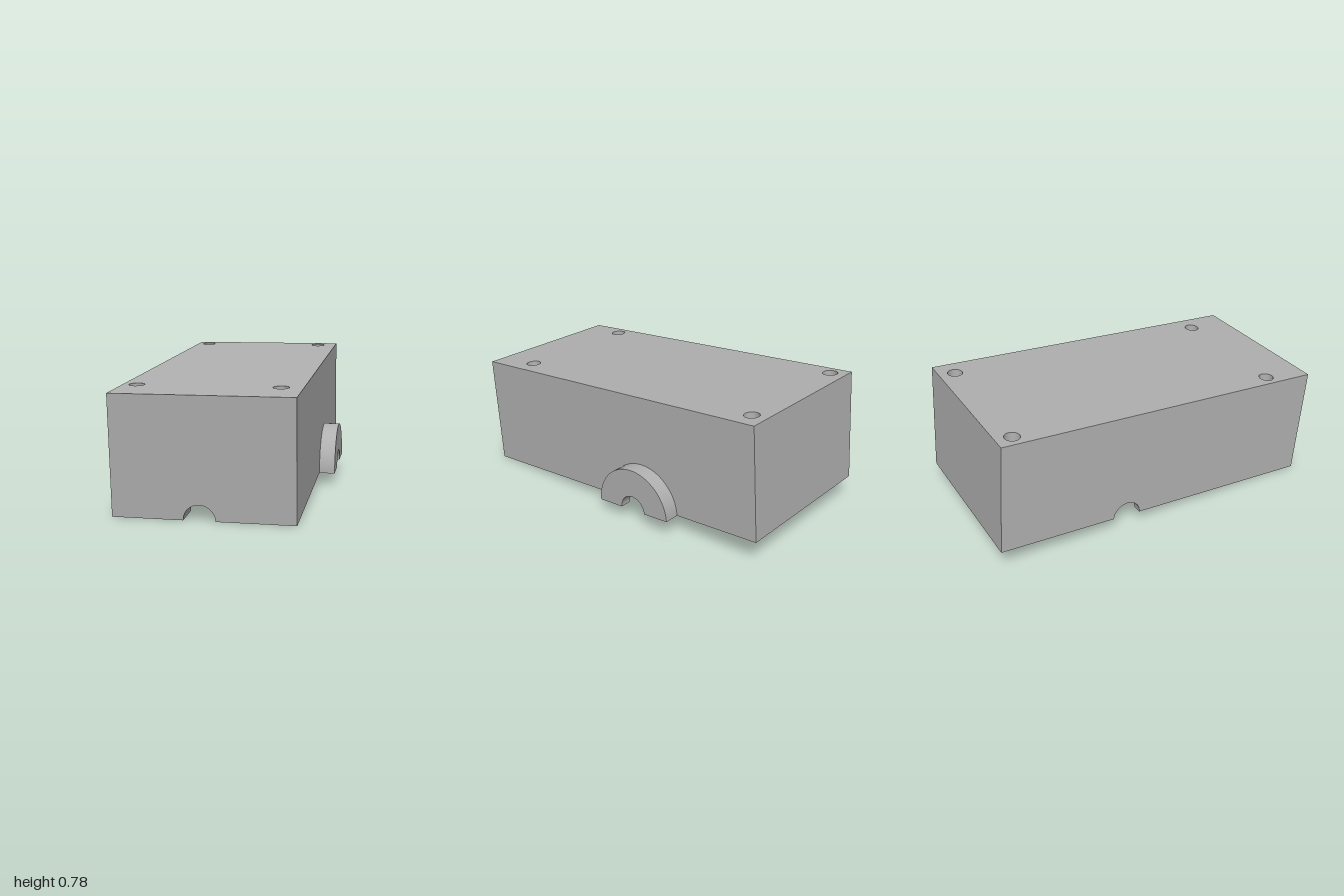
import * as THREE from 'three';

// Local axes: x across, v up from the split plane, u from the front end to the back end
const XL = -0.52, XR = 0.43, H = 0.64, L = 1.96, TILT = 0.0715;
const XS = -0.063, US = 1.198;             // axes of the long shaft and the cross shaft
const RB = 0.083, RP = 0.163;              // bore and bearing pocket radii
const RBOSS = 0.243, XBOSS = 0.52;
const RW = 0.46, WX0 = -0.257, WX1 = 0.275; // wheel chamber
const RG = 0.245, GU0 = 0.70, GU1 = 1.18;   // pinion chamber
const P1 = [0.15, 0.30], P2 = [0.48, 0.64]; // pockets on the long shaft
const PL = [-0.465, XS - RG], PR = [0.30, 0.455]; // pockets on the cross shaft
const HOLE_R = 0.042, HOLES = [[0.315, 0.256], [-0.445, 0.256], [0.315, 1.867], [-0.445, 1.867]];
const { PI, sin, cos, acos, asin, sqrt } = Math;

export function createModel() {
  const grey = new THREE.MeshStandardMaterial({ color: 0xb0b0b0, side: THREE.DoubleSide });
  grey.name = 'castGrey';
  const housing = new THREE.Group();
  housing.name = 'gearHousing';

  const add = (name, geo) => {
    geo.computeVertexNormals();
    const mesh = new THREE.Mesh(geo, grey);
    mesh.name = name;
    housing.add(mesh);
  };

  // Surface grid from f(s, t) -> [x, v, u]
  const patch = (name, f, n = 32, m = 1) => {
    const geo = new THREE.PlaneGeometry(1, 1, n, m);
    const p = geo.attributes.position;
    for (let i = 0; i < p.count; i++) {
      const [x, v, u] = f(p.getX(i) + 0.5, p.getY(i) + 0.5);
      p.setXYZ(i, x, v, -u);
    }
    add(name, geo);
  };

  // Flat face from a 2D outline, placed by map(p, q) -> [x, v, u]
  const face = (name, pts, map, holes = []) => {
    const shape = new THREE.Shape(pts.map(([a, b]) => new THREE.Vector2(a, b)));
    for (const [a, b] of holes) shape.holes.push(new THREE.Path().absarc(a, b, HOLE_R, 0, 2 * PI, true));
    const geo = new THREE.ShapeGeometry(shape, 16);
    const p = geo.attributes.position;
    for (let i = 0; i < p.count; i++) {
      const [x, v, u] = map(p.getX(i), p.getY(i));
      p.setXYZ(i, x, v, -u);
    }
    add(name, geo);
  };

  const arc = (c, r, a0, a1, n = 32) => Array.from({ length: n + 1 }, (_, i) => {
    const a = a0 + (a1 - a0) * i / n;
    return [c + r * cos(a), r * sin(a)];
  });
  const mix = (a, b, t) => a + (b - a) * t;

  // Half cylinders (equal radii) and half rings (equal ends) about each shaft
  const alongU = (name, u0, u1, r0, r1 = r0) => patch(name, (s, t) => {
    const r = mix(r0, r1, t);
    return [XS + r * cos(s * PI), r * sin(s * PI), mix(u0, u1, t)];
  });
  const alongX = (name, x0, x1, r0, r1 = r0, end = PI) => patch(name, (s, t) => {
    const r = mix(r0, r1, t);
    return [mix(x0, x1, t), r * sin(s * end), US + r * cos(s * end)];
  });

  // Outer faces
  face('top', [[XL, 0], [XR, 0], [XR, L], [XL, L]], (x, u) => [x, H, u], HOLES);
  face('backEnd', [[XL, 0], [XR, 0], [XR, H], [XL, H]], (x, v) => [x, v, L]);
  face('frontEnd', [[XL, 0], ...arc(XS, RB, PI, 0), [XR, 0], [XR, H], [XL, H]], (x, v) => [x, v, 0]);
  for (const [name, x, r] of [['rightSide', XL, RB], ['leftSide', XR, RBOSS]])
    face(name, [[0, 0], ...arc(US, r, PI, 0), [L, 0], [L, H], [0, H]], (u, v) => [x, v, u]);

  // Split face in three pieces, stepped around the pockets
  const steps = sign => [
    [RB, 0], [RB, P1[0]], [RP, P1[0]], [RP, P1[1]], [RB, P1[1]], [RB, P2[0]],
    [RP, P2[0]], [RP, P2[1]], [RB, P2[1]], [RB, GU0], [RG, GU0],
  ].map(([d, u]) => [XS + sign * d, u]);
  const bossSteps = s => [
    [WX1, US + s * RB], [PR[0], US + s * RB], [PR[0], US + s * RP], [PR[1], US + s * RP],
    [PR[1], US + s * RB], [XBOSS, US + s * RB], [XBOSS, US + s * RBOSS], [XR, US + s * RBOSS],
  ];
  const flat = (x, u) => [x, 0, u];
  face('splitFaceLeft', [...steps(1), [XS + RG, US - RW], [WX1, US - RW], ...bossSteps(-1), [XR, 0]],
    flat, [HOLES[0]]);
  face('splitFaceRight', [...steps(-1), [PL[1], US - RP], [PL[0], US - RP], [PL[0], US - RB],
    [XL, US - RB], [XL, 0]], flat, [HOLES[1]]);
  face('splitFaceBack', [[XL, US + RB], [PL[0], US + RB], [PL[0], US + RP], [PL[1], US + RP],
    [PL[1], US + RB], [WX0, US + RB], [WX0, US + RW], [WX1, US + RW], ...bossSteps(1),
    [XR, L], [XL, L]], flat, [HOLES[2], HOLES[3]]);

  // Bolt holes
  for (const [x, u] of HOLES)
    patch('boltHole', (s, t) => [x + HOLE_R * cos(s * 2 * PI), t * H, u + HOLE_R * sin(s * 2 * PI)]);

  // Bearing boss
  alongX('bossRim', XR, XBOSS, RBOSS);
  alongX('bossFace', XBOSS, XBOSS, RB, RBOSS);

  // Long shaft bores, pockets and pocket walls
  for (const [a, b] of [[0, P1[0]], [P1[1], P2[0]], [P2[1], GU0]]) alongU('longBore', a, b, RB);
  for (const [a, b] of [P1, P2]) {
    alongU('longPocket', a, b, RP);
    for (const u of [a, b]) alongU('longPocketWall', u, u, RB, RP);
  }

  // Cross shaft bores, pockets and pocket walls
  const cut = acos((GU1 - US) / RB);
  for (const [a, b] of [[XL, PL[0]], [WX1, PR[0]], [PR[1], XBOSS]]) alongX('crossBore', a, b, RB);
  alongX('crossBoreInner', PL[1], WX0, RB, RB, cut);
  for (const [a, b] of [PL, PR]) {
    alongX('crossPocket', a, b, RP);
    for (const x of [a, b]) alongX('crossPocketWall', x, x, RB, RP);
  }

  // Pinion chamber, trimmed where it runs into the wheel chamber
  const th = acos((WX0 - XS) / RG), h = RG * sin(th);
  const meet = v => US - sqrt(RW * RW - v * v);
  alongU('pinionFrontWall', GU0, GU0, RB, RG);
  patch('pinionChamberFront', (s, t) => {
    const v = RG * sin(s * th);
    return [XS + RG * cos(s * th), v, mix(GU0, meet(v), t)];
  });
  patch('pinionChamberSide', (s, t) => {
    const a = mix(th, PI, s);
    return [XS + RG * cos(a), RG * sin(a), mix(GU0, GU1, t)];
  });
  const low = RB * sin(cut);
  patch('pinionEndWall', (s, t) => {
    const a = mix(th, PI - asin(low / RG), s);
    return [XS + RG * cos(a), mix(low, RG * sin(a), t), GU1];
  });

  // Wheel chamber
  patch('wheelChamber', (s, t) => {
    const a = s * th;
    const phi = t * (PI - asin(RG * sin(a) / RW));
    return [XS + RG * cos(a), RW * sin(phi), US + RW * cos(phi)];
  }, 32, 48);
  alongX('wheelChamberEdge', XS + RG, WX1, RW);
  alongX('wheelWallLeft', WX1, WX1, RB, RW);
  face('wheelWallRight', [...arc(US, RW, PI - asin(h / RW), 0, 48), ...arc(US, RB, 0, cut, 16), [GU1, h]],
    (u, v) => [WX0, v, u]);

  housing.rotation.x = TILT;
  housing.position.z = 0.955;
  const model = new THREE.Group();
  model.name = 'gearHousingModel';
  model.add(housing);
  return model;
}
